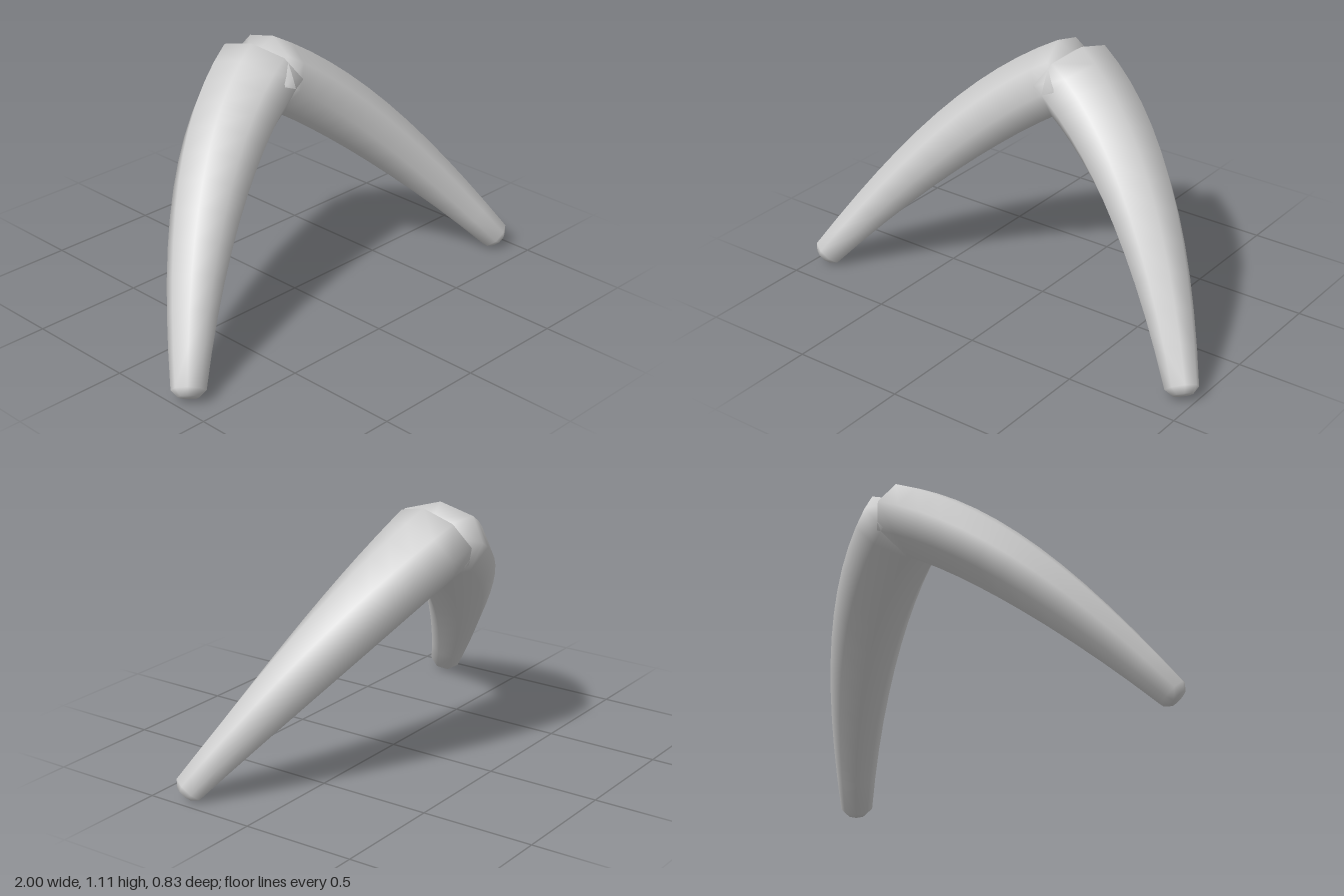
import * as THREE from 'three';

const SIDES = 8, STEPS = 12;

// Tapered oval limb swept along a curve, with bevelled ends; side = 1 or -1 mirrors it in x
function limbGeometry(side) {
  const curve = new THREE.QuadraticBezierCurve3(
    new THREE.Vector3(-0.003, 0.976, -0.207),
    new THREE.Vector3(0.475, 0.735, -0.105),
    new THREE.Vector3(0.94, 0.05, 0.35));
  const up = new THREE.Vector3(0, 1, 0);

  // Cross-sections: [curve position, offset along the curve, scale]
  const sections = [[0, -0.05, 0], [0, -0.045, 0.5]];
  for (let i = 0; i <= STEPS; i++) sections.push([i / STEPS, 0, 1]);
  sections.push([1, 0.028, 0.6], [1, 0.03, 0]);

  const positions = [], index = [];
  for (const [t, offset, scale] of sections) {
    const tangent = curve.getTangent(t);
    const centre = curve.getPoint(t).addScaledVector(tangent, offset);
    const across = new THREE.Vector3().crossVectors(up, tangent).normalize();
    const above = new THREE.Vector3().crossVectors(tangent, across);
    // Straight taper with a slight swell at mid-length
    const swell = Math.sin(t * Math.PI);
    const wide = (THREE.MathUtils.lerp(0.213, 0.071, t) + 0.015 * swell) * scale;
    const tall = (THREE.MathUtils.lerp(0.152, 0.068, t) + 0.025 * swell) * scale;
    for (let j = 0; j < SIDES; j++) {
      const a = j / SIDES * Math.PI * 2;
      const p = centre.clone()
        .addScaledVector(across, Math.cos(a) * wide)
        .addScaledVector(above, Math.sin(a) * tall);
      positions.push(p.x * side, p.y, p.z);
    }
  }
  const tri = (a, b, c) => side > 0 ? index.push(a, b, c) : index.push(a, c, b);
  const last = sections.length - 2;
  for (let i = 0; i <= last; i++) {
    for (let j = 0; j < SIDES; j++) {
      const k = (j + 1) % SIDES;
      const a = i * SIDES + j, b = i * SIDES + k, c = a + SIDES, d = b + SIDES;
      if (i > 0) tri(a, b, c);
      if (i < last) tri(b, d, c);
    }
  }
  // End centres share one vertex each so the caps shade smoothly
  const end = (last + 1) * SIDES;
  const shared = index.map(v => v < SIDES ? 0 : v >= end ? end : v);
  const geometry = new THREE.BufferGeometry();
  geometry.setAttribute('position', new THREE.Float32BufferAttribute(positions, 3));
  geometry.setIndex(shared);
  geometry.computeVertexNormals();
  return geometry;
}

export function createModel() {
  const model = new THREE.Group();
  model.name = 'curvedPair';
  const grey = new THREE.MeshStandardMaterial({ color: 0xcccccc });
  grey.name = 'light grey';

  // Two limbs that cross slightly at the middle
  for (const side of [1, -1]) {
    const limb = new THREE.Mesh(limbGeometry(side), grey);
    limb.name = side > 0 ? 'leftLimb' : 'rightLimb';
    model.add(limb);
  }
  return model;
}
